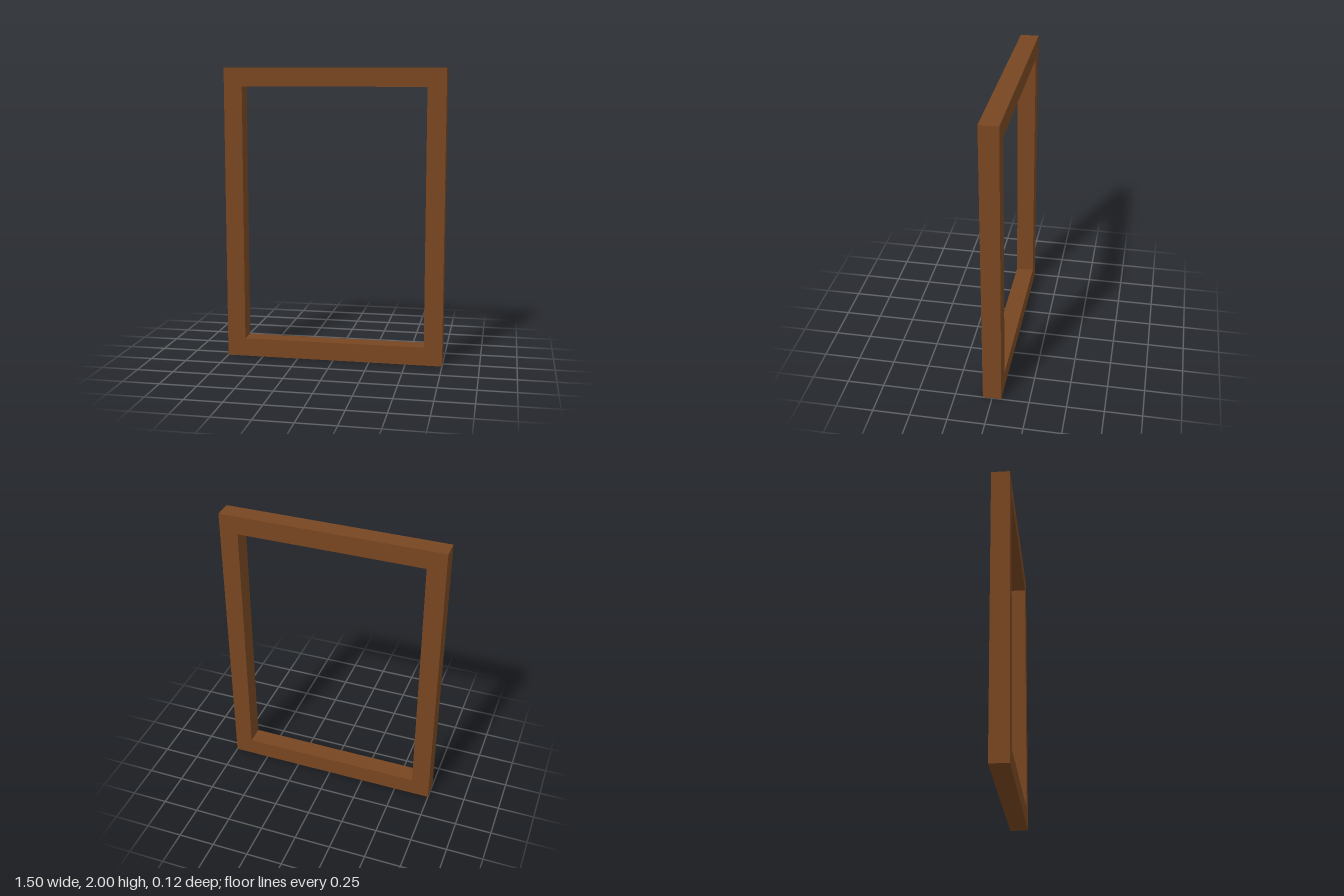
import * as THREE from 'three';

const WIDTH = 1.5, HEIGHT = 2, DEPTH = 0.125, BORDER = 0.125;

// Corner points of a rectangle centred on x = 0, inset from the outer edge
function rectangle(inset) {
  const x = WIDTH / 2 - inset, bottom = inset, top = HEIGHT - inset;
  return [[-x, bottom], [x, bottom], [x, top], [-x, top]].map(([px, py]) => new THREE.Vector2(px, py));
}

export function createModel() {
  const wood = new THREE.MeshStandardMaterial({ color: 0x784621 });
  wood.name = 'brownWood';

  // Rectangular frame with an open middle
  const outline = new THREE.Shape(rectangle(0));
  outline.holes.push(new THREE.Path(rectangle(BORDER)));
  const geometry = new THREE.ExtrudeGeometry(outline, { depth: DEPTH, bevelEnabled: false });
  geometry.translate(0, 0, -DEPTH / 2);

  const frame = new THREE.Mesh(geometry, wood);
  frame.name = 'frame';

  const model = new THREE.Group();
  model.name = 'openFrame';
  model.add(frame);
  return model;
}
